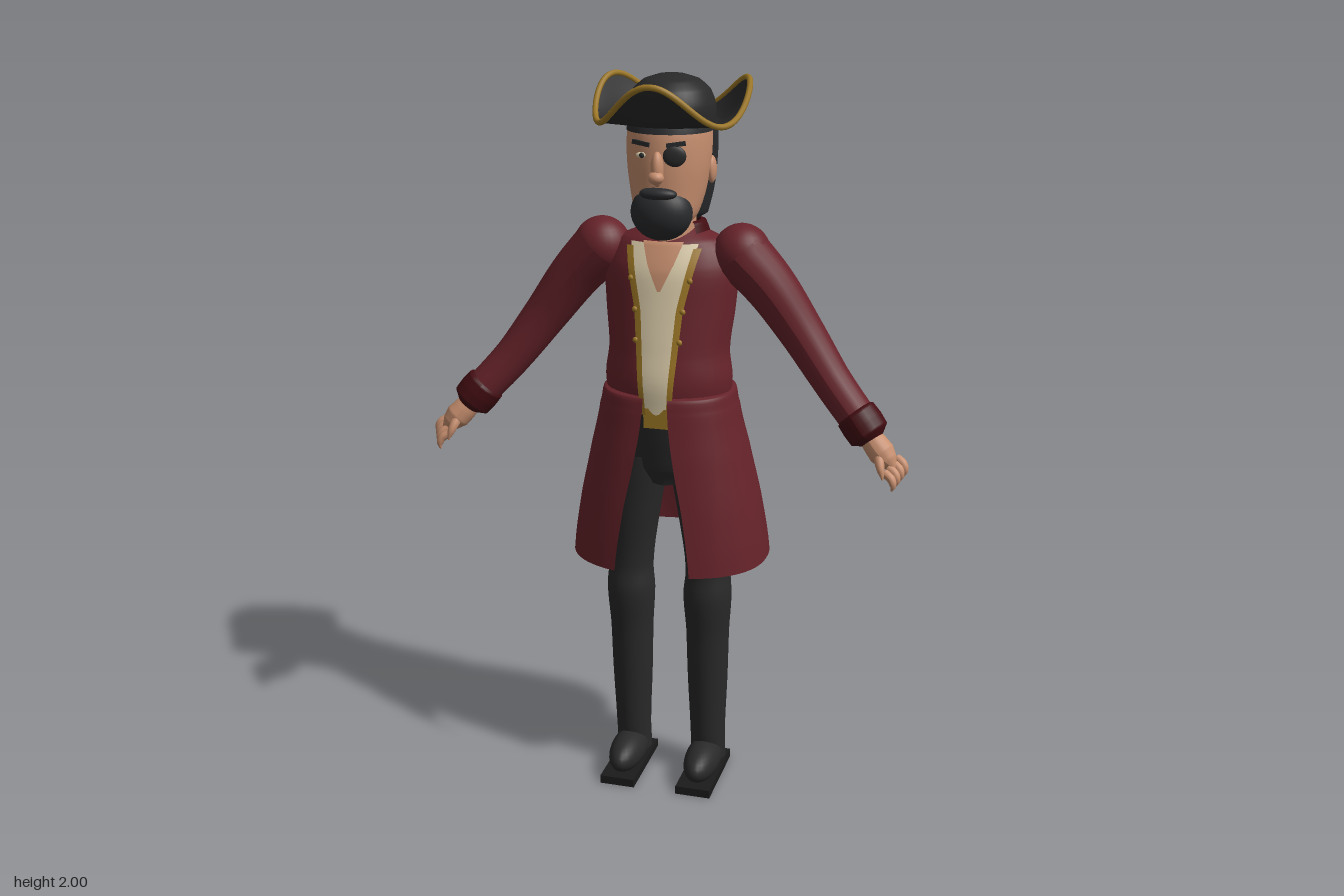
import * as THREE from 'three';

const mat = (name, color, side = THREE.FrontSide) => {
  const m = new THREE.MeshStandardMaterial({ color, side });
  m.name = name;
  return m;
};

// Grid surface: fn(u, v) -> [x, y, z], u runs to the right and v upward seen from outside
function grid(nu, nv, fn, closed) {
  const pos = [], idx = [], w = closed ? nu : nu + 1;
  for (let j = 0; j <= nv; j++) for (let i = 0; i < w; i++) pos.push(...fn(i / nu, j / nv));
  for (let j = 0; j < nv; j++) for (let i = 0; i < nu; i++) {
    const a = j * w + i, b = j * w + (i + 1) % w;
    idx.push(a, b, b + w, a, b + w, a + w);
  }
  const g = new THREE.BufferGeometry();
  g.setAttribute('position', new THREE.Float32BufferAttribute(pos, 3));
  g.setIndex(idx);
  g.computeVertexNormals();
  return g;
}

// Cross-section at height y from rows [y, halfWidth, frontZ, backZ, extra], smoothly blended
function section(rows, y) {
  let i = 0;
  while (i < rows.length - 2 && y > rows[i + 1][0]) i++;
  const t = THREE.MathUtils.clamp((y - rows[i][0]) / (rows[i + 1][0] - rows[i][0]), 0, 1);
  const p = rows[Math.max(i - 1, 0)], a = rows[i], b = rows[i + 1], q = rows[Math.min(i + 2, rows.length - 1)];
  return a.map((_, k) => {
    const m0 = (b[k] - p[k]) / 2, m1 = (q[k] - a[k]) / 2, d = b[k] - a[k];
    return a[k] + t * (m0 + t * (3 * d - 2 * m0 - m1 + t * (m0 + m1 - 2 * d)));
  });
}

const spow = (v, e) => Math.sign(v) * Math.abs(v) ** e;

// Body of rounded sections; with open, the extra column is the half gap at the front
function loft(rows, { n = 40, cx = 0, e = 1, open = false } = {}) {
  const segs = rows.length - 1, sub = 5;
  return grid(n, segs * sub, (u, v) => {
    const k = Math.min(Math.floor(v * segs + 1e-6), segs - 1), t = v * segs - k;
    const y = THREE.MathUtils.lerp(rows[k][0], rows[k + 1][0], t);
    const [, rx, zf, zb, extra = 0] = section(rows, y);
    const a0 = open ? Math.asin(Math.min(1, extra / rx) ** (1 / e)) : 0;
    const a = a0 + u * (2 * Math.PI - 2 * a0);
    return [cx + (open ? 0 : extra) + rx * spow(Math.sin(a), e), y,
      (zf + zb) / 2 + (zf - zb) / 2 * spow(Math.cos(a), e)];
  }, !open);
}

const frontZ = (rows, x, y) => {
  const [, rx, zf, zb] = section(rows, y);
  return (zf + zb) / 2 + (zf - zb) / 2 * Math.sqrt(Math.max(0, 1 - (x / rx) ** 2));
};

// Thin panel lying on the front of a lofted body, from edges [y, x0, x1]
function panel(rows, edges, lift) {
  return grid(8, 24, (u, v) => {
    const y = THREE.MathUtils.lerp(edges[0][0], edges[edges.length - 1][0], v);
    let i = 0;
    while (i < edges.length - 2 && y > edges[i + 1][0]) i++;
    const t = (y - edges[i][0]) / (edges[i + 1][0] - edges[i][0]);
    const [, x0, x1] = edges[i].map((c, k) => THREE.MathUtils.lerp(c, edges[i + 1][k], t));
    const x = THREE.MathUtils.lerp(x0, x1, u);
    return [x, y, frontZ(rows, x, y) + lift];
  });
}

// Tube with changing radius through points [x, y, z, r]
function limb(pts, s = 1, n = 24) {
  const curve = new THREE.CatmullRomCurve3(pts.map(p => new THREE.Vector3(s * p[0], p[1], p[2])));
  const g = new THREE.TubeGeometry(curve, n, 1, 18), pos = g.attributes.position, v = new THREE.Vector3();
  for (let i = 0; i < pos.count; i++) {
    const u = Math.floor(i / 19) / n, f = u * (pts.length - 1), k = Math.min(Math.floor(f), pts.length - 2);
    const c = curve.getPointAt(u), r = THREE.MathUtils.lerp(pts[k][3], pts[k + 1][3], f - k);
    v.fromBufferAttribute(pos, i).sub(c).multiplyScalar(r).add(c);
    pos.setXYZ(i, v.x, v.y, v.z);
  }
  g.computeVertexNormals();
  return g;
}

export function createModel() {
  const D = THREE.DoubleSide;
  const red = mat('coat red', 0x66232a, D), darkRed = mat('cuff dark red', 0x420d12, D);
  const black = mat('cloth black', 0x29292a, D), hair = mat('hair black', 0x2a2b2d, D);
  const gold = mat('trim gold', 0x9c7726, D), cream = mat('shirt cream', 0xdccdab, D);
  const skin = mat('skin', 0xc68e6e, D), sole = mat('sole black', 0x1b1b1c);
  const root = new THREE.Group();
  const add = (name, geo, m, p = [0, 0, 0], sc = [1, 1, 1]) => {
    const mesh = new THREE.Mesh(geo, m);
    mesh.name = name;
    mesh.position.set(...p);
    mesh.scale.set(...sc);
    root.add(mesh);
    return mesh;
  };
  const ball = (name, m, p, sc) => add(name, new THREE.SphereGeometry(1, 28, 18), m, p, sc);

  // Jacket and what lies on its front
  const torso = [[1.12, .165, .158, -.1], [1.2, .175, .163, -.1], [1.28, .166, .152, -.096], [1.4, .178, .134, -.108],
    [1.5, .18, .118, -.106], [1.57, .145, .088, -.09], [1.61, .06, .05, -.06]];
  add('jacket', loft(torso), red);
  add('shirt', panel(torso, [[1.12, -.036, .036], [1.4, -.052, .052], [1.57, -.092, .092]], .004), cream);
  add('openNeckline', panel(torso, [[1.45, -.004, .004], [1.52, -.036, .036], [1.575, -.055, .055]], .007), skin);
  for (const s of [-1, 1]) {
    const edge = [[1.12, .028, .042], [1.4, .048, .066], [1.56, .082, .102]];
    add('frontTrim', panel(torso, edge.map(([y, a, b]) => s > 0 ? [y, a, b] : [y, -b, -a]), .009), gold);
    for (const [y, x] of [[1.48, .08], [1.4, .065], [1.32, .06]])
      ball('button', gold, [s * x, y, frontZ(torso, x, y) + .008], [.008, .008, .006]);
  }
  add('buckle', new THREE.BoxGeometry(.07, .055, .02), gold, [0, 1.11, .152]);

  // Skirt of the coat, open at the front
  add('coatSkirt', loft([[.68, .275, .222, -.22, .105], [.85, .25, .21, -.195, .083], [1.0, .217, .195, -.165, .053],
    [1.12, .19, .18, -.138, .036], [1.165, .18, .172, -.13, .034], [1.172, .16, .15, -.09, .034]],
  { n: 56, e: .87, open: true }), red);
  add('collar', loft([[1.54, .1, .085, -.1, .085], [1.58, .1, .08, -.106, .08], [1.615, .088, .07, -.094, .07],
    [1.62, .075, .06, -.078, .062]], { open: true }), darkRed);

  // Trousers, boots and soles
  add('hips', loft([[.9, .05, .1, -.03], [.95, .12, .115, -.05], [1.05, .14, .13, -.07], [1.15, .15, .14, -.08]]), black);
  for (const s of [-1, 1]) {
    add('leg', loft([[.04, .05, .06, -.045], [.13, .05, .07, -.037], [.3, .057, .08, -.036], [.45, .061, .088, -.036],
      [.56, .068, .098, -.035], [.64, .063, .088, -.032], [.8, .073, .1, -.04], [.98, .08, .115, -.05]]
      .map(r => [...r, s * (r[0] > .7 ? .113 - (r[0] - .7) * .12 : .112)]), { n: 28 }), black);
    ball('boot', black, [s * .112, .058, .068], [.05, .052, .115]);
    add('sole', new THREE.BoxGeometry(.1, .024, .25), sole, [s * .112, .012, .065]);
  }

  // Arms, cuffs and hands
  for (const s of [-1, 1]) {
    ball('shoulder', red, [s * .193, 1.538, .008], [.078, .08, .076]);
    add('sleeve', limb([[.19, 1.54, .01, .078], [.27, 1.455, .006, .069], [.36, 1.335, .012, .06],
      [.45, 1.215, .038, .053], [.53, 1.125, .07, .05]], s), red);
    add('cuff', limb([[.5, 1.163, .06, .012], [.504, 1.158, .062, .056], [.54, 1.115, .073, .058],
      [.575, 1.072, .084, .056], [.579, 1.067, .085, .012]], s), darkRed);
    add('palm', limb([[.56, 1.088, .08, .03], [.585, 1.06, .09, .034], [.61, 1.035, .1, .036],
      [.632, 1.015, .11, .026], [.637, 1.01, .112, .002]], s), skin);
    for (let i = 0; i < 4; i++) {
      const o = (i - 1.5) / 1.5, x = .622 + .012 * o, y = 1.02 + .014 * o, z = .105 - .024 * o;
      add('finger', limb([[x, y, z, .012], [x + .02, y - .014, z + .008, .012],
        [x + .026, y - .033, z + .012, .01], [x + .022, y - .045, z + .012, .002]], s, 10), skin);
    }
    add('thumb', limb([[.59, 1.05, .11, .015], [.598, 1.025, .132, .013], [.606, 1, .142, .01], [.608, .99, .144, .002]],
      s, 10), skin);
  }

  // Head and neck
  const head = [[1.6, .04, .11, .02], [1.64, .08, .14, -.03], [1.7, .098, .143, -.07], [1.78, .11, .143, -.088],
    [1.86, .111, .134, -.092], [1.92, .1, .11, -.085]];
  add('neck', loft([[1.5, .09, .1, -.06], [1.56, .07, .085, -.055], [1.66, .066, .08, -.06]]), skin);
  add('head', loft(head), skin);
  add('backHair', loft([[1.615, .06, -.03, -.085], [1.63, .083, -.015, -.096], [1.7, .1, -.01, -.104], [1.78, .108, -.008, -.108],
    [1.85, .11, 0, -.106], [1.9, .1, 0, -.1]]), hair);
  add('hairline', loft([[1.858, .113, .136, -.095], [1.91, .108, .12, -.095]]), hair);
  ball('beard', hair, [0, 1.655, .102], [.082, .074, .062]);
  ball('moustache', hair, [0, 1.708, .135], [.05, .018, .026]);
  ball('nose', skin, [0, 1.772, .143], [.017, .045, .022]);
  ball('noseTip', skin, [0, 1.752, .156], [.021, .017, .02]);
  for (const s of [-1, 1]) {
    ball('ear', skin, [s * .108, 1.755, 0], [.012, .036, .022]);
    add('eyebrow', new THREE.BoxGeometry(.05, .011, .009), hair, [s * .046, 1.835, frontZ(head, .046, 1.835) + .002])
      .rotation.set(0, s * .25, s * .12);
  }
  ball('eye', cream, [-.043, 1.805, frontZ(head, .043, 1.805) - .001], [.017, .008, .006]);
  ball('pupil', hair, [-.043, 1.805, frontZ(head, .043, 1.805) + .003], [.007, .007, .004]);
  ball('eyePatch', black, [.043, 1.805, frontZ(head, .043, 1.805)], [.03, .027, .009]).rotation.y = .25;

  // Three-cornered hat
  const rim = a => [.2 * Math.sin(a) * (1 - .1 * Math.cos(a)), 1.933 + .052 * Math.cos(3 * a), .016 + .196 * Math.cos(a)];
  const brim = (u, v) => {
    const a = u * 2 * Math.PI, [x, y, z] = rim(a), t = 1 - v;
    const ix = .112 * Math.sin(a), iz = .006 + .12 * Math.cos(a);
    return [ix + (x - ix) * t, 1.872 + (y - 1.872) * t ** 1.6, iz + (z - iz) * t];
  };
  add('hatBrim', grid(72, 10, brim, true), black);
  const path = new THREE.CatmullRomCurve3(Array.from({ length: 48 }, (_, i) =>
    new THREE.Vector3(...rim(i / 24 * Math.PI))), true);
  add('hatTrim', new THREE.TubeGeometry(path, 96, .008, 8, true), gold);
  add('hatCrown', loft([[1.865, .114, .125, -.117], [1.92, .115, .126, -.116], [1.96, .1, .111, -.101],
    [1.985, .072, .082, -.07], [1.997, .035, .042, -.03], [2, .001, .006, .004]]), black);
  return root;
}
